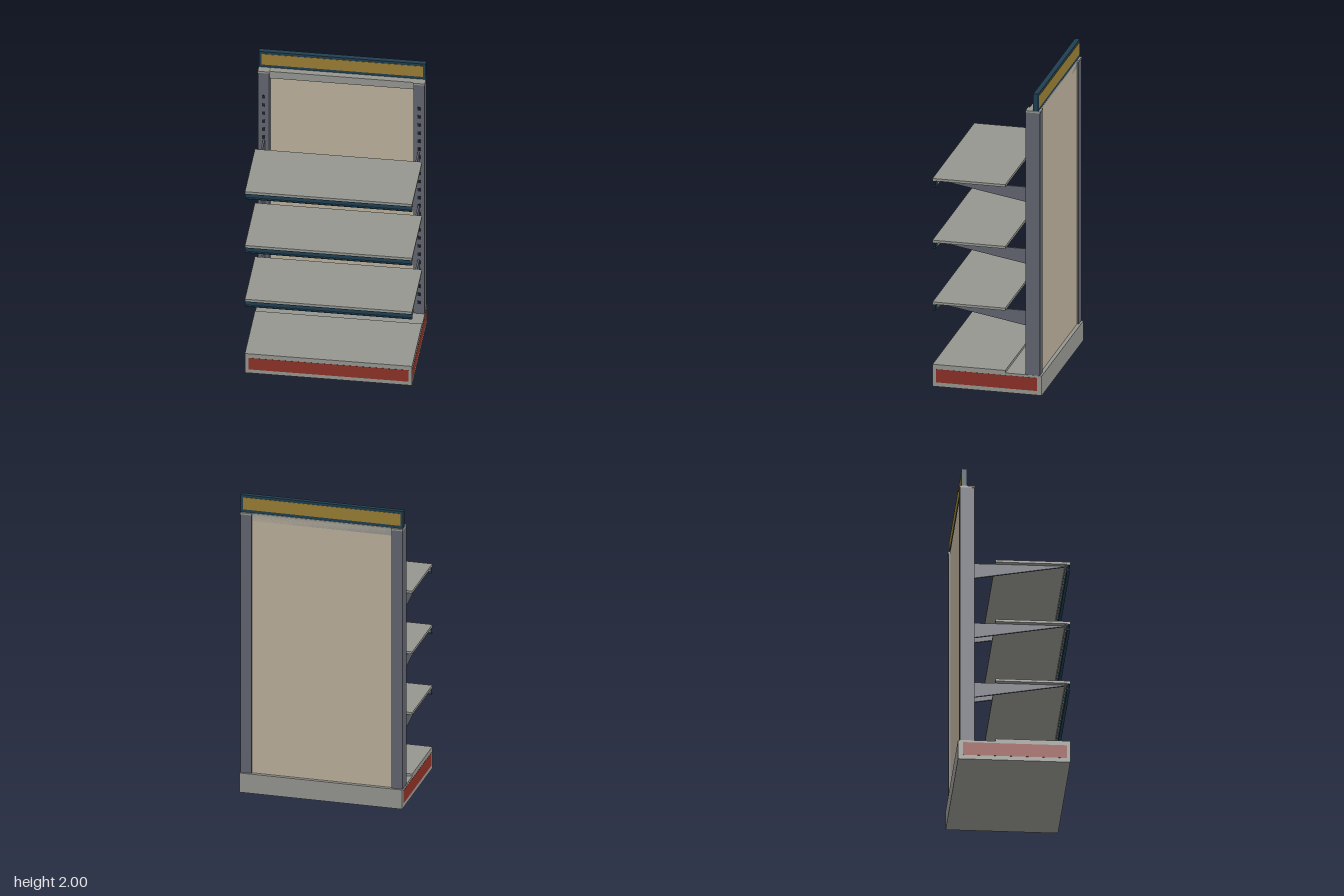
import * as THREE from 'three';

const mat = (name, color) => {
  const m = new THREE.MeshStandardMaterial({ color });
  m.name = name;
  return m;
};

export function createModel() {
  const grey = mat('grey metal', 0x94958f);
  const slate = mat('slate upright', 0x60636f);
  const navy = mat('navy trim', 0x203e50);
  const gold = mat('gold sign', 0x987c34);
  const beige = mat('beige panel', 0xb9ae9a);
  const red = mat('red kick panel', 0x8a3026);
  const dark = mat('dark slot', 0x1f232b);

  const root = new THREE.Group();
  root.name = 'storeShelf';

  // Box given by its min and max along each axis
  const box = (name, m, x0, x1, y0, y1, z0, z1, parent = root) => {
    const mesh = new THREE.Mesh(new THREE.BoxGeometry(x1 - x0, y1 - y0, z1 - z0), m);
    mesh.position.set((x0 + x1) / 2, (y0 + y1) / 2, (z0 + z1) / 2);
    mesh.name = name;
    parent.add(mesh);
    return mesh;
  };
  const W = 0.527, D = 0.352;

  // Base plinth with inset-looking kick panels and the bottom deck
  box('base', grey, -W, W, 0, 0.13, -D, D);
  box('baseDeck', grey, -W, W, 0.13, 0.146, -0.117, D);
  box('frontKickPanel', red, -0.505, 0.505, 0.028, 0.115, D, D + 0.001);
  for (const s of [-1, 1]) {
    const x = s * W;
    box('sideKickPanel', red, x - 0.001, x + 0.001, 0.028, 0.115, -0.322, 0.33);
  }

  // Back panel and cross rails
  box('backPanel', beige, -0.456, 0.456, 0.13, 1.872, -0.328, -0.312);
  box('bottomRail', slate, -0.456, 0.456, 0.13, 0.175, -0.312, -0.257);
  box('topRail', grey, -0.456, 0.456, 1.83, 1.882, -0.328, -0.257);

  // Slotted uprights with caps
  for (const s of [-1, 1]) {
    const post = new THREE.Group();
    post.name = s > 0 ? 'leftUpright' : 'rightUpright';
    root.add(post);
    const cx = s * 0.49;
    box('post', slate, cx - 0.035, cx + 0.035, 0.13, 1.872, -0.339, -0.248, post);
    box('postCap', grey, cx - 0.037, cx + 0.037, 1.872, 1.884, -0.343, -0.246, post);
    for (let i = 0; i < 25; i++) {
      const y = 0.215 + i * 0.0615;
      box('slot', dark, cx - 0.008, cx + 0.008, y - 0.012, y + 0.012, -0.249, -0.245, post);
    }
  }

  // Header sign, readable from both sides
  box('headerFrame', navy, -W, W, 1.884, 2, -0.329, -0.297);
  box('headerSignFront', gold, -0.51, 0.51, 1.903, 1.983, -0.298, -0.295);
  box('headerSignBack', gold, -0.51, 0.51, 1.903, 1.983, -0.331, -0.328);

  // Tapered bracket, drawn in (z, y) below the shelf board
  const outline = new THREE.Shape([
    [-0.246, -0.115], [0.32, -0.019], [0.32, -0.016], [-0.246, -0.016],
  ].map(([z, y]) => new THREE.Vector2(z, y)));
  const bracketGeo = new THREE.ExtrudeGeometry(outline, { depth: 0.012, bevelEnabled: false });
  bracketGeo.rotateY(-Math.PI / 2);
  bracketGeo.translate(0.006, 0, 0);

  // Three shelves, each with brackets and a price channel
  for (const top of [0.56, 0.97, 1.38]) {
    const shelf = new THREE.Group();
    shelf.name = 'shelf';
    shelf.position.y = top;
    root.add(shelf);
    box('board', grey, -W, W, -0.016, 0, -0.117, D, shelf);
    box('boardLip', grey, -W, W, -0.04, -0.016, 0.319, 0.323, shelf);
    box('priceChannelBack', navy, -W, W, -0.058, -0.016, 0.332, 0.337, shelf);
    box('priceChannelTop', navy, -W, W, -0.021, -0.016, 0.337, 0.35, shelf);
    box('priceChannelBottom', navy, -W, W, -0.058, -0.053, 0.337, 0.35, shelf);
    for (const s of [-1, 1]) {
      const bracket = new THREE.Mesh(bracketGeo, slate);
      bracket.position.x = s * 0.488;
      bracket.name = 'bracket';
      shelf.add(bracket);
    }
  }
  return root;
}
